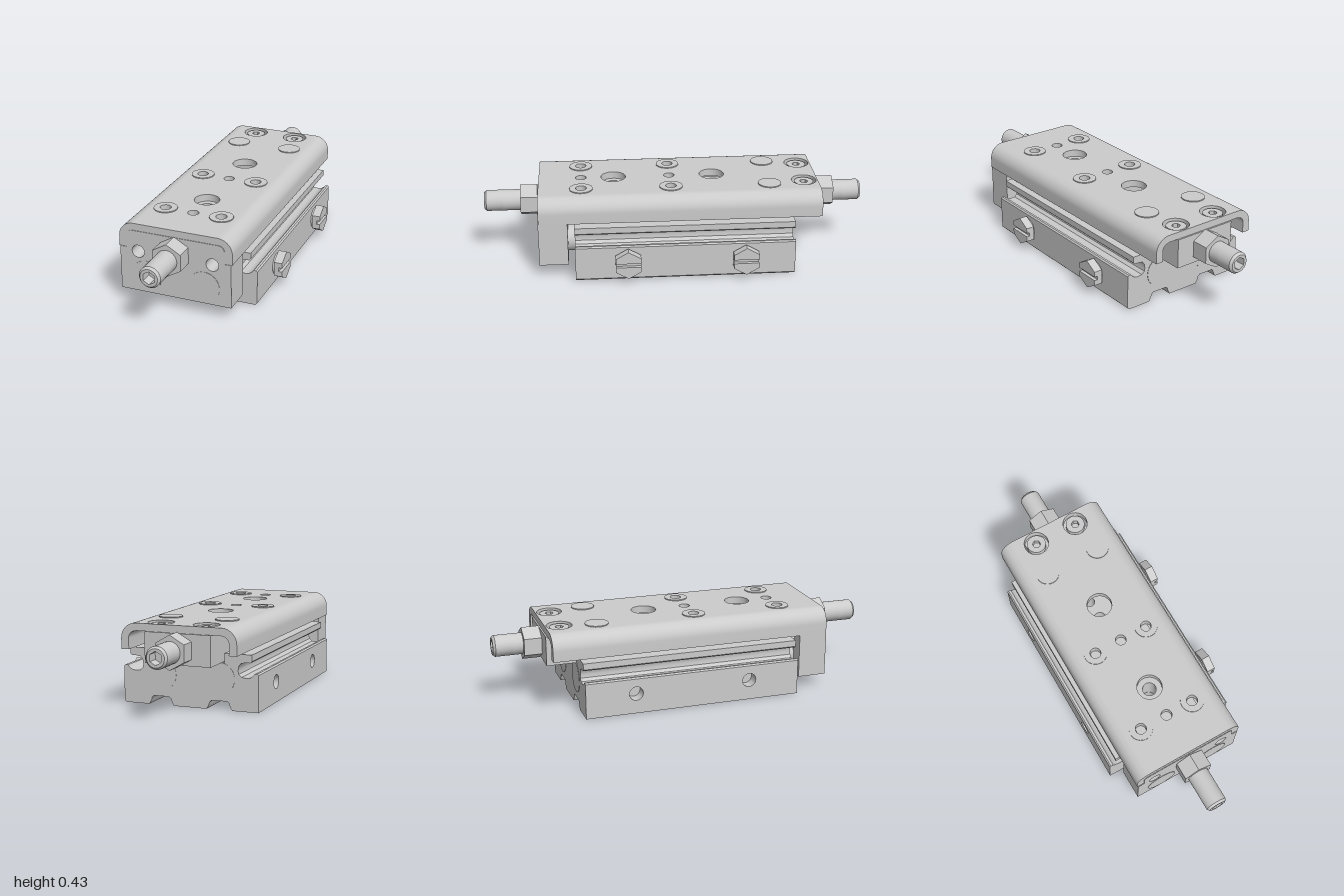
import * as THREE from 'three';
import { toCreasedNormals } from 'three/addons/utils/BufferGeometryUtils.js';

const mat = new THREE.MeshStandardMaterial({ color: 0xcccccc });

const poly = (pts) => new THREE.Shape(pts.map(([x, y]) => new THREE.Vector2(x, y)));
const rect = (x0, y0, x1, y1) => poly([[x0, y0], [x1, y0], [x1, y1], [x0, y1]]);
const circle = (x, y, r) => new THREE.Shape().absarc(x, y, r, 0, Math.PI * 2, false);
const hexPts = (x, y, r) => Array.from({ length: 6 }, (_, i) => {
  const a = Math.PI / 2 + (i * Math.PI) / 3;
  return [x + r * Math.cos(a), y + r * Math.sin(a)];
});
const hex = (x, y, r) => poly(hexPts(x, y, r));
const cut = (shape, ...holes) => { shape.holes.push(...holes); return shape; };

// Extrudes a shape from a to b. Shape axes: z -> (x, y), y -> (x, -z), x -> (-z, y)
function prism(parent, name, shape, axis, a, b) {
  let g = new THREE.ExtrudeGeometry(shape, { depth: b - a, bevelEnabled: false, curveSegments: 16 });
  g.translate(0, 0, a);
  if (axis === 'y') g.rotateX(-Math.PI / 2);
  if (axis === 'x') g.rotateY(Math.PI / 2);
  g = toCreasedNormals(g, 0.6);
  const mesh = new THREE.Mesh(g, mat);
  mesh.name = name;
  parent.add(mesh);
  return mesh;
}

function group(parent, name) {
  const g = new THREE.Group();
  g.name = name;
  parent.add(g);
  return g;
}

// Half of the slide body's section; pocket leaves room for a drilled side block
function bodyShape(s, pocket) {
  const outer = pocket
    ? [[0.295, 0], [0.295, 0.155], [0.355, 0.155]]
    : [[0.345, 0], [0.355, 0.01]];
  return poly([
    [0.08, 0], [0.087, 0], [0.098, 0.02], [0.102, 0.035], [0.113, 0.044],
    [0.195, 0.044], [0.204, 0.035], [0.208, 0.02], [0.22, 0], ...outer,
    [0.355, 0.183], [0.348, 0.19], [0.335, 0.189], [0.326, 0.178], [0.312, 0.168], [0.295, 0.165],
    [0.268, 0.168], [0.253, 0.182], [0.25, 0.2], [0.253, 0.22], [0.265, 0.236],
    [0.29, 0.24], [0.312, 0.24], [0.32, 0.248], [0.32, 0.28], [0.18, 0.28], [0.18, 0.23], [0.08, 0.23],
  ].map(([x, y]) => [s * x, y]));
}

// Adjusting bolt with hex nut and socket end; dir is the end it points to
function stopBolt(parent, name, dir, start) {
  const g = group(parent, name);
  g.position.set(0, 0.31, 0);
  if (dir < 0) g.rotation.y = Math.PI;
  prism(g, 'nut', hex(0, 0, 0.085), 'z', start, start + 0.09);
  prism(g, 'shank', circle(0, 0, 0.052), 'z', start - 0.05, 0.94);
  const profile = [[0.052, 0.9], [0.055, 0.9], [0.055, 0.988], [0.045, 1]];
  const lathe = new THREE.LatheGeometry(profile.map(([r, y]) => new THREE.Vector2(r, y)), 32);
  lathe.rotateX(Math.PI / 2);
  const skin = new THREE.Mesh(toCreasedNormals(lathe, 0.5), mat);
  skin.name = 'chamferedTip';
  g.add(skin);
  prism(g, 'thread', circle(0, 0, 0.055), 'z', start + 0.09, 0.91);
  prism(g, 'socket', cut(circle(0, 0, 0.045), hex(0, 0, 0.033)), 'z', 0.94, 1);
}

export function createModel() {
  const model = new THREE.Group();
  model.name = 'slideTable';
  const root = group(model, 'assembly');
  root.position.x = -0.03;

  // Slide body: two side sections and a drilled centre strip
  const body = group(root, 'body');
  const z0 = -0.605, z1 = 0.53;
  prism(body, 'bodySide', bodyShape(1, false), 'z', z0, z1);
  prism(body, 'bodySide', bodyShape(-1, true), 'z', z0, z1);
  const strip = cut(rect(-0.08, -z1, 0.08, -z0),
    ...[0.32, -0.2].map((z) => circle(0, -z, 0.035)),
    ...[0.43, -0.31].map((z) => circle(0, -z, 0.025)));
  prism(body, 'bodyCentre', strip, 'y', 0, 0.23);
  const sideZ = [0.26, -0.345];
  const sideBlock = cut(poly([[-z1, 0], [-z0, 0], [-z0, 0.155], [-z1, 0.155]]),
    ...sideZ.map((z) => circle(-z, 0.105, 0.036)));
  prism(body, 'drilledSide', sideBlock, 'x', -0.355, -0.295);

  // Piston rods and cylinder end caps
  for (const s of [-1, 1]) {
    prism(root, 'pistonRod', circle(s * 0.153, 0.155, 0.07), 'z', z1 - 0.01, 0.575);
    prism(root, 'cylinderCap', circle(s * 0.153, 0.155, 0.08), 'z', z0 - 0.002, z0 + 0.01);
    prism(root, 'rodCap', circle(s * 0.153, 0.155, 0.08), 'z', 0.7, 0.717);
  }

  // Front end plate
  const plate = new THREE.Shape();
  plate.moveTo(-0.293, 0.065).lineTo(0.293, 0.065).lineTo(0.293, 0.295).lineTo(0.258, 0.295)
    .lineTo(0.258, 0.358).absarc(0.228, 0.358, 0.03, 0, Math.PI / 2, false)
    .lineTo(-0.228, 0.388).absarc(-0.228, 0.358, 0.03, Math.PI / 2, Math.PI, false)
    .lineTo(-0.258, 0.295).lineTo(-0.293, 0.295);
  cut(plate, circle(-0.196, 0.28, 0.033), circle(0.196, 0.28, 0.033));
  prism(root, 'endPlate', plate, 'z', 0.565, 0.715);

  // Table: drilled flat top with two rounded side skirts
  const table = group(root, 'table');
  const t0 = -0.748, t1 = 0.712, flat = 0.222;
  const rowZ = [0.025, 0.49];
  const screws = [-0.118, 0.118];
  const top = cut(rect(-flat, -t1, flat, -t0),
    ...[0.32, -0.2].map((z) => circle(0, -z, 0.065)),
    ...screws.map((x) => circle(x, 0.675, 0.065)),
    ...rowZ.flatMap((z) => [-0.15, 0, 0.15].map((x) => circle(x, -z, 0.028))));
  prism(table, 'tableTop', top, 'y', 0.388, 0.425);
  for (const s of [-1, 1]) {
    const arc = (r) => Array.from({ length: 13 }, (_, i) => {
      const a = (i / 12) * Math.PI / 2;
      return [s * (flat + r * Math.cos(a)), 0.425 - 0.076 + r * Math.sin(a)];
    });
    const skirt = poly([[s * 0.258, 0.295], [s * 0.298, 0.295], ...arc(0.076), ...arc(0.037).reverse()]);
    prism(table, 'tableSkirt', skirt, 'z', t0, t1);
    // Raised pads around the mounting holes, solid pads at the rear
    for (const z of rowZ) {
      prism(table, 'mountingPad', cut(circle(s * 0.15, -z, 0.06), circle(s * 0.15, -z, 0.028)), 'y', 0.42, 0.43);
    }
    prism(table, 'solidPad', circle(s * 0.15, 0.49, 0.06), 'y', 0.42, 0.43);
    // Recessed cap screws
    const head = cut(circle(s * 0.118, 0.675, 0.05), hex(s * 0.118, 0.675, 0.022));
    prism(table, 'capScrew', head, 'y', 0.385, 0.418);
  }

  // Guide block and rear stop block beneath the table
  const guide = cut(rect(-0.17, -0.57, 0.17, 0.06), circle(0, -0.32, 0.035));
  prism(root, 'guideBlock', guide, 'y', 0.235, 0.388);
  prism(root, 'stopBlock', rect(-0.17, 0.235, 0.17, 0.388), 'z', -0.756, -0.4);

  // Adjusting bolts at both ends
  stopBolt(root, 'frontStopBolt', 1, 0.72);
  stopBolt(root, 'rearStopBolt', -1, 0.757);

  // Slotted hex screws on one flank
  for (const z of sideZ) {
    const g = group(root, 'sideScrew');
    g.position.set(0, 0.105, z);
    prism(g, 'collar', circle(0, 0, 0.055), 'x', 0.35, 0.367);
    prism(g, 'hexHead', hex(0, 0, 0.075), 'x', 0.366, 0.392);
    for (const s of [-1, 1]) {
      const half = [[0.065, 0.01], [0.065, 0.0375], [0, 0.075], [-0.065, 0.0375], [-0.065, 0.01]];
      prism(g, 'slottedHalf', poly(half.map(([x, y]) => [x, s * y])), 'x', 0.392, 0.41);
    }
  }
  return model;
}
